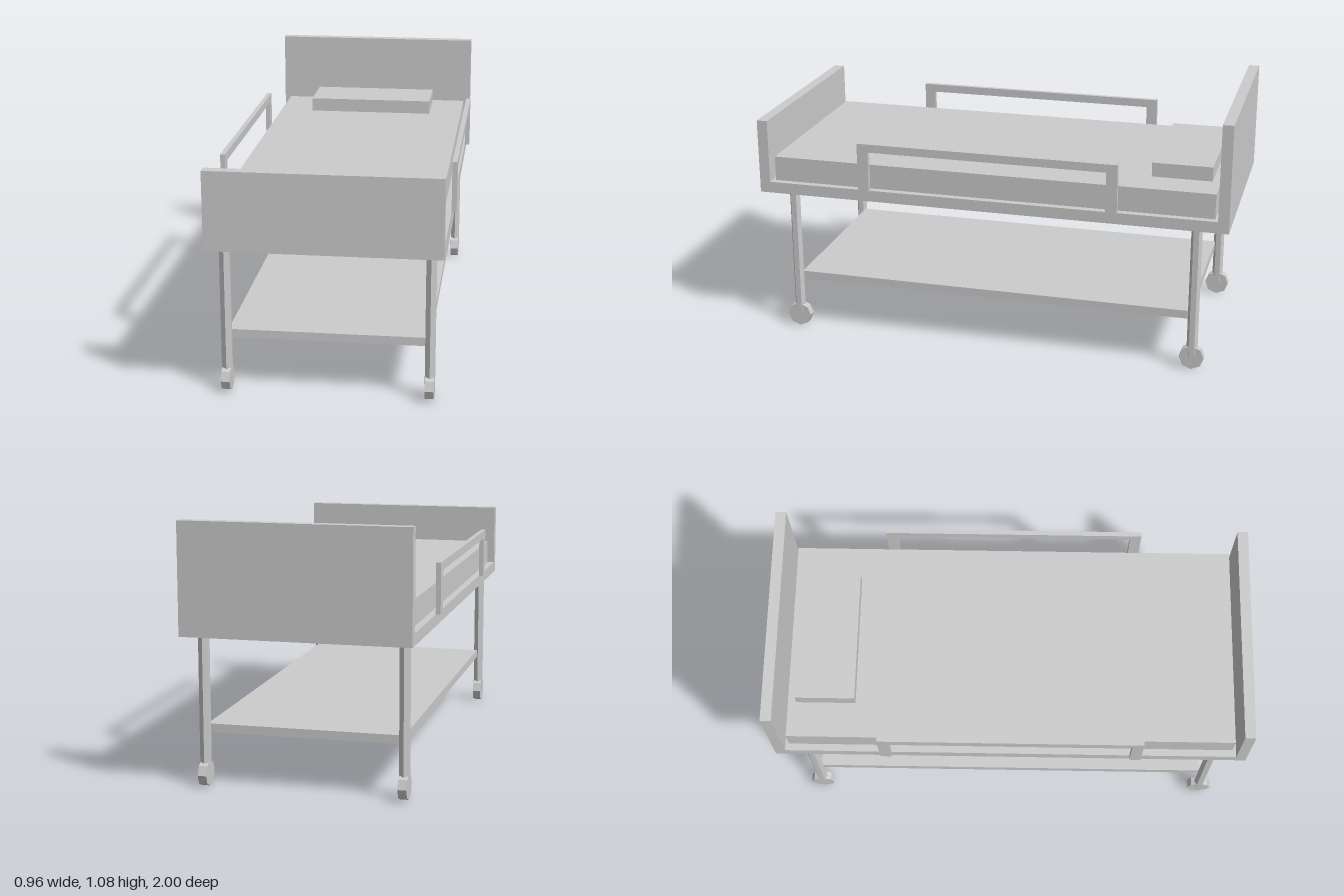
import * as THREE from 'three';

export function createModel() {
  const model = new THREE.Group();
  model.name = 'hospitalBed';
  const grey = new THREE.MeshStandardMaterial({ color: 0xcccccc, flatShading: true });
  grey.name = 'lightGrey';

  const add = (name, geometry, x = 0, y = 0, z = 0) => {
    const mesh = new THREE.Mesh(geometry, grey);
    mesh.name = name;
    mesh.position.set(x, y, z);
    model.add(mesh);
    return mesh;
  };
  // Box given by its bottom height
  const box = (name, w, h, d, x, bottom, z) =>
    add(name, new THREE.BoxGeometry(w, h, d), x, bottom + h / 2, z);
  // Side outline in [z, y] points, extruded along x and centred on x
  const sideProfile = (name, points, width, x) => {
    const shape = new THREE.Shape(points.map(([z, y]) => new THREE.Vector2(-z, y)));
    const geometry = new THREE.ExtrudeGeometry(shape, { depth: width, bevelEnabled: false });
    geometry.translate(0, 0, -width / 2).rotateY(Math.PI / 2);
    return add(name, geometry, x);
  };

  // Bed base with footboard and taller headboard in one piece
  sideProfile('frameWithEndBoards', [
    [1, 0.627], [1, 0.945], [0.955, 0.945], [0.955, 0.675],
    [-0.955, 0.675], [-0.955, 1.078], [-1, 1.078], [-1, 0.627],
  ], 0.92, 0);

  // Bedding and lower shelf
  box('mattress', 0.86, 0.105, 1.88, 0, 0.675, 0);
  box('pillow', 0.56, 0.06, 0.25, 0, 0.78, -0.78);
  box('shelf', 0.8, 0.035, 1.7, 0, 0.216, 0);

  for (const side of [1, -1]) {
    // Side guard rail
    sideProfile(side > 0 ? 'leftRail' : 'rightRail', [
      [0.55, 0.675], [0.55, 0.885], [-0.55, 0.885], [-0.55, 0.675],
      [-0.503, 0.675], [-0.503, 0.85], [0.503, 0.85], [0.503, 0.675],
    ], 0.02, side * 0.47);

    // Hexagonal legs and octagonal castors
    for (const end of [1, -1]) {
      add('leg', new THREE.CylinderGeometry(0.023, 0.023, 0.573, 6), side * 0.405, 0.3415, end * 0.867);
      const wheel = new THREE.CylinderGeometry(0.052, 0.052, 0.035, 8).rotateZ(Math.PI / 2);
      add('wheel', wheel, side * 0.405, 0.052, end * 0.867);
    }
  }
  return model;
}
